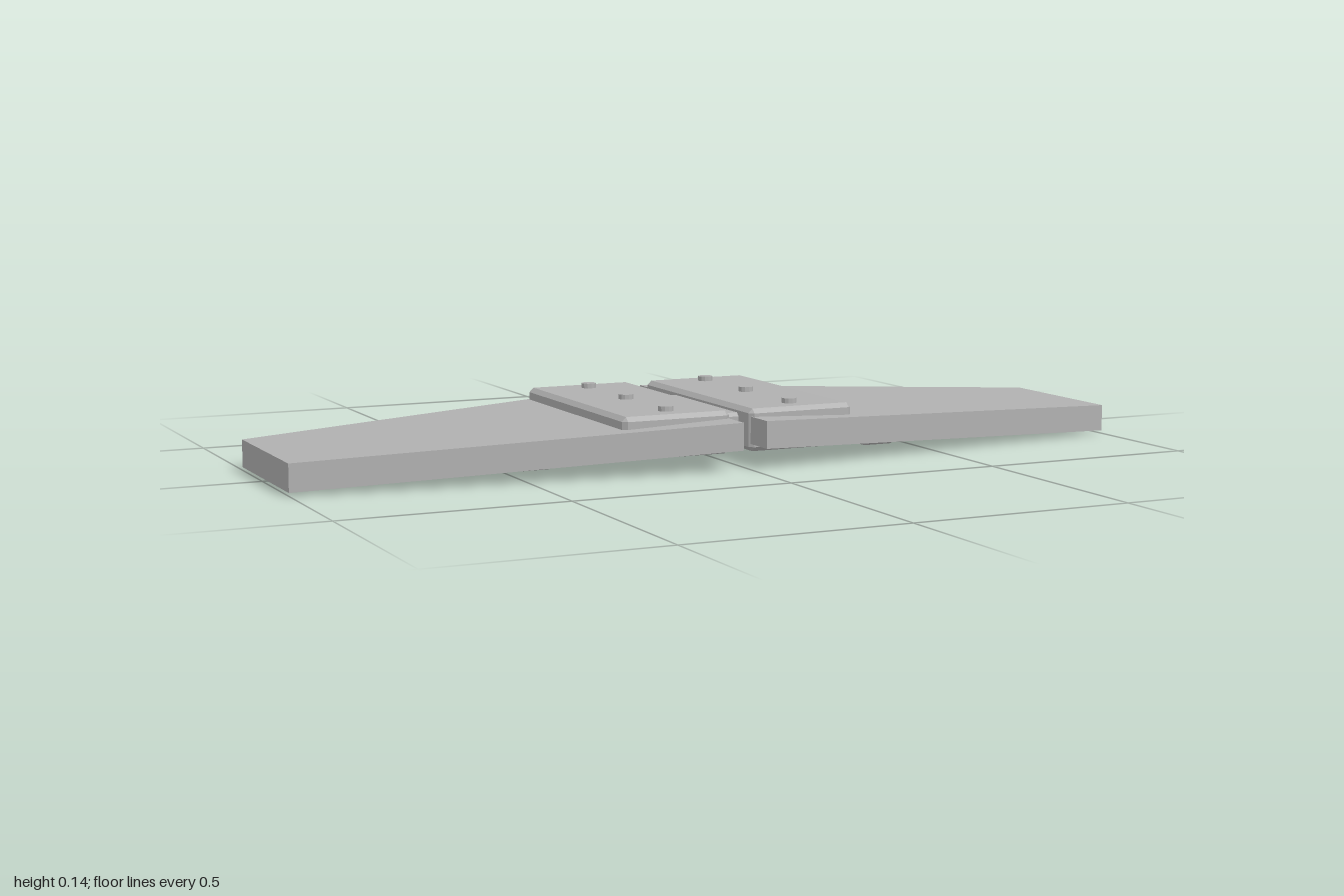
import * as THREE from 'three';
import { ConvexGeometry } from 'three/addons/geometries/ConvexGeometry.js';

const grey = new THREE.MeshStandardMaterial({ color: 0xb0b0b0, flatShading: true });
grey.name = 'plain grey';

// Box with every edge cut by a chamfer c, given by its min/max extents
function chamferBox(name, [x0, x1], [y0, y1], [z0, z1], c) {
  const half = new THREE.Vector3(x1 - x0, y1 - y0, z1 - z0).multiplyScalar(0.5);
  const points = [];
  for (const sx of [-1, 1]) for (const sy of [-1, 1]) for (const sz of [-1, 1]) {
    for (let axis = 0; axis < 3; axis++) {
      const p = half.clone().subScalar(c);
      p.setComponent(axis, half.getComponent(axis));
      points.push(p.multiply(new THREE.Vector3(sx, sy, sz)));
    }
  }
  const mesh = new THREE.Mesh(new ConvexGeometry(points), grey);
  mesh.name = name;
  mesh.position.set((x0 + x1) / 2, (y0 + y1) / 2, (z0 + z1) / 2);
  return mesh;
}

// Extents ordered for the chosen side
const span = (side, a, b) => (side > 0 ? [a, b] : [-b, -a]);

// Tapered, drooping slab from the root to the tip
function wing(side) {
  const points = [];
  const sections = [
    { x: 0.028, y: [0.047, 0.108], z: [-0.334, 0.334] },
    { x: 1, y: [0.007, 0.068], z: [-0.156, 0.201] },
  ];
  for (const s of sections) for (const y of s.y) for (const z of s.z) {
    points.push(new THREE.Vector3(side * s.x, y, z));
  }
  const mesh = new THREE.Mesh(new ConvexGeometry(points), grey);
  mesh.name = 'wingPanel';
  return mesh;
}

export function createModel() {
  const model = new THREE.Group();
  model.name = 'hingedWing';

  // Spar joining the two halves
  model.add(chamferBox('centreSpar', [-0.04, 0.04], [0.048, 0.11], [-0.13, 0.205], 0.008));

  const boltGeometry = new THREE.CylinderGeometry(0.017, 0.017, 0.03, 12);
  for (const side of [1, -1]) {
    const half = new THREE.Group();
    half.name = side > 0 ? 'leftHalf' : 'rightHalf';
    half.add(wing(side));

    // Clamp block through the root, with three bolts on top
    half.add(chamferBox('rootClamp', span(side, 0.024, 0.28), [0.03, 0.125], [-0.29, 0.263], 0.01));
    for (const z of [0.201, -0.013, -0.227]) {
      const bolt = new THREE.Mesh(boltGeometry, grey);
      bolt.name = 'bolt';
      bolt.position.set(side * 0.152, 0.121, z);
      half.add(bolt);
    }

    // Pads under the panel
    for (const x of [0.43, 0.847]) {
      half.add(chamferBox('underPad', span(side, x - 0.042, x + 0.042), [0, 0.042], [-0.118, 0.125], 0.007));
    }
    model.add(half);
  }
  return model;
}
